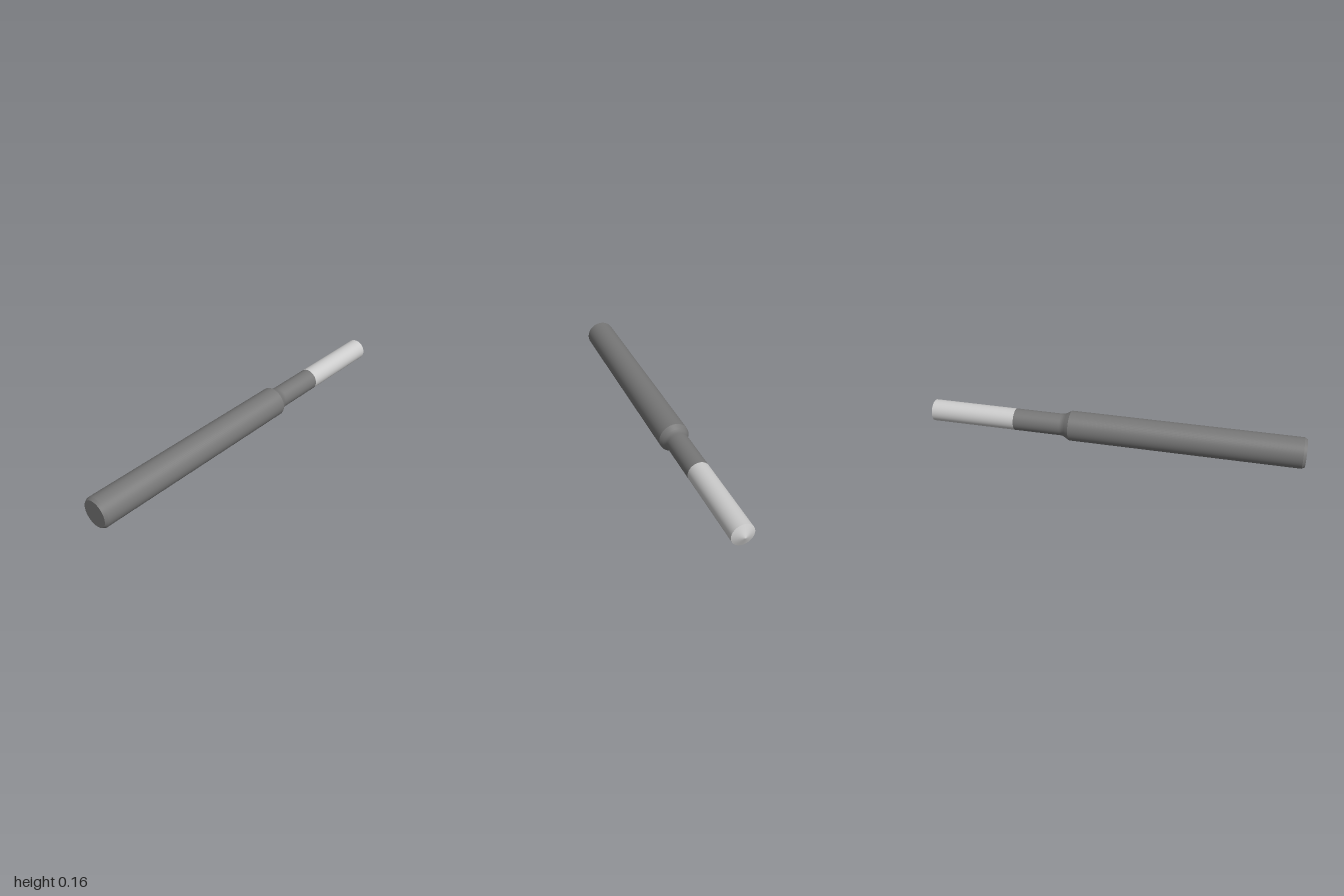
import * as THREE from 'three';
import { mergeGeometries } from 'three/addons/utils/BufferGeometryUtils.js';

const SEGMENTS = 64;
const R = 0.079;   // shank radius, also the height of the axis
const r = 0.0575;  // neck and cutter radius

// Turns each run of [radius, z] points, front to back; runs meet at sharp edges
function turned(name, runs, material) {
  const parts = runs.map((run) =>
    new THREE.LatheGeometry(run.map(([rad, z]) => new THREE.Vector2(rad, -z)), SEGMENTS));
  const geometry = mergeGeometries(parts);
  geometry.rotateX(-Math.PI / 2).translate(0, R, 0);
  const mesh = new THREE.Mesh(geometry, material);
  mesh.name = name;
  return mesh;
}

export function createModel() {
  const group = new THREE.Group();
  group.name = 'cuttingTool';
  const dark = new THREE.MeshStandardMaterial({ color: 0x777777 });
  const light = new THREE.MeshStandardMaterial({ color: 0xcccccc });

  // Shank with a chamfered end
  group.add(turned('shank', [
    [[0, 1], [0.07, 1]],
    [[0.07, 1], [R, 0.985]],
    [[R, 0.985], [R, -0.21]],
  ], dark));

  // Tapered shoulder blending into the thin neck
  group.add(turned('neck', [
    [[R, -0.21], [0.0645, -0.236]],
    [[0.0645, -0.236], [0.0605, -0.244], [0.0583, -0.252], [r, -0.262], [r, -0.515]],
  ], dark));

  // Cutter with a shallow conical point
  group.add(turned('cutter', [
    [[r, -0.515], [r, -0.975]],
    [[r, -0.975], [0, -1]],
  ], light));

  return group;
}
